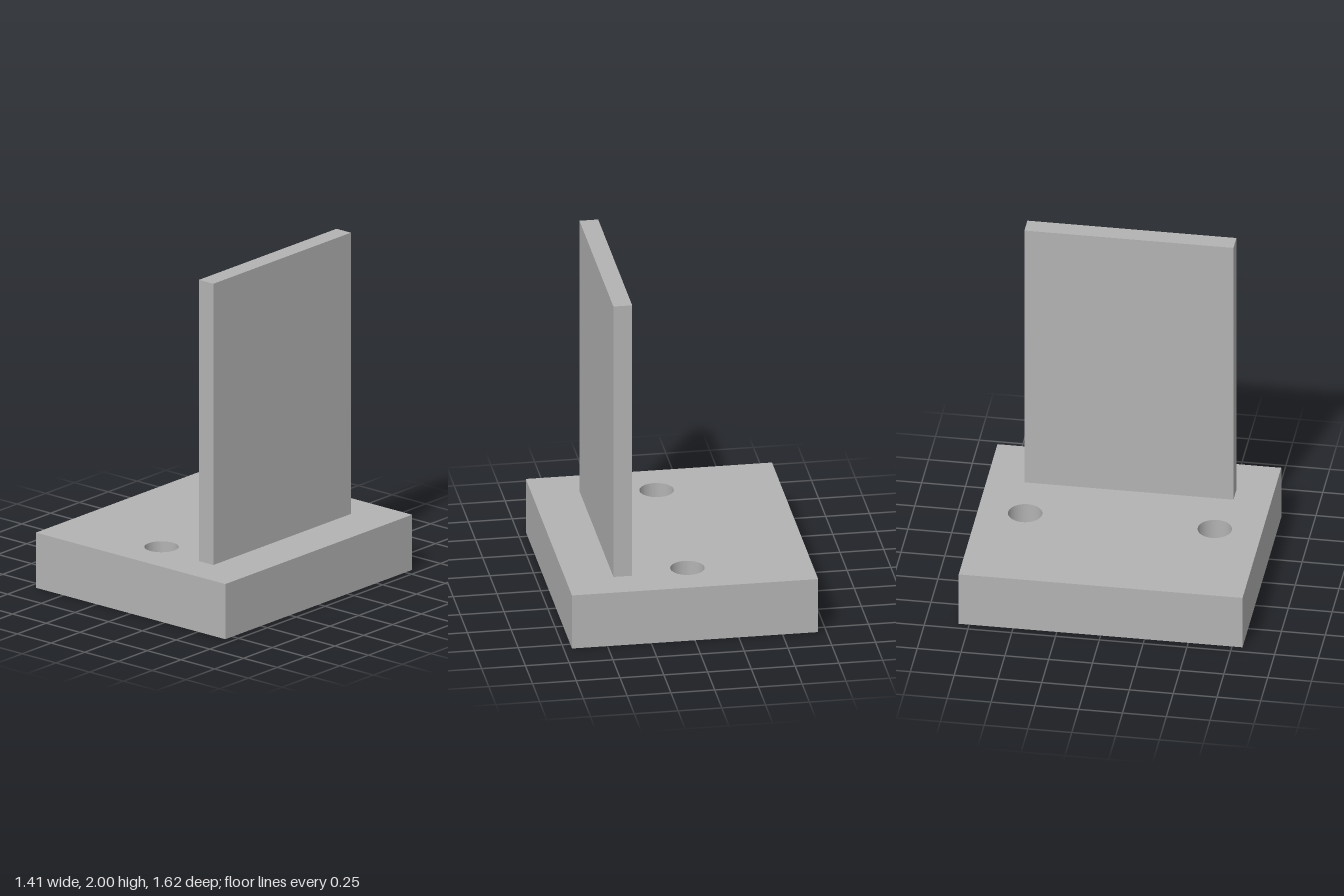
import * as THREE from 'three';
import { toCreasedNormals } from 'three/addons/utils/BufferGeometryUtils.js';

const BASE = { halfX: 0.703, halfZ: 0.81, height: 0.328 };
const HOLE = { z: 0.541, radius: 0.097 };
const PLATE = { x: 0.378, width: 0.107, depth: 1.193 };
const TOP = 2;

// Thick slab with two bolt holes, outlined in plan and extruded upwards
function baseGeometry() {
  const { halfX, halfZ, height } = BASE;
  const outline = new THREE.Shape([
    new THREE.Vector2(-halfX, -halfZ),
    new THREE.Vector2(halfX, -halfZ),
    new THREE.Vector2(halfX, halfZ),
    new THREE.Vector2(-halfX, halfZ),
  ]);
  for (const side of [-1, 1]) {
    outline.holes.push(new THREE.Path().absarc(0, side * HOLE.z, HOLE.radius, 0, Math.PI * 2, true));
  }
  const geometry = new THREE.ExtrudeGeometry(outline, { depth: height, bevelEnabled: false, curveSegments: 48 });
  geometry.rotateX(-Math.PI / 2);
  return toCreasedNormals(geometry, Math.PI / 6);
}

export function createModel() {
  const grey = new THREE.MeshStandardMaterial({ color: 0xb3b3b3 });
  grey.name = 'grey';

  const model = new THREE.Group();
  model.name = 'mountingBracket';

  const base = new THREE.Mesh(baseGeometry(), grey);
  base.name = 'base';

  // Thin upright plate standing on the base, off to one side
  const plateHeight = TOP - BASE.height;
  const plate = new THREE.Mesh(new THREE.BoxGeometry(PLATE.width, plateHeight, PLATE.depth), grey);
  plate.name = 'uprightPlate';
  plate.position.set(PLATE.x, BASE.height + plateHeight / 2, 0);

  model.add(base, plate);
  return model;
}
